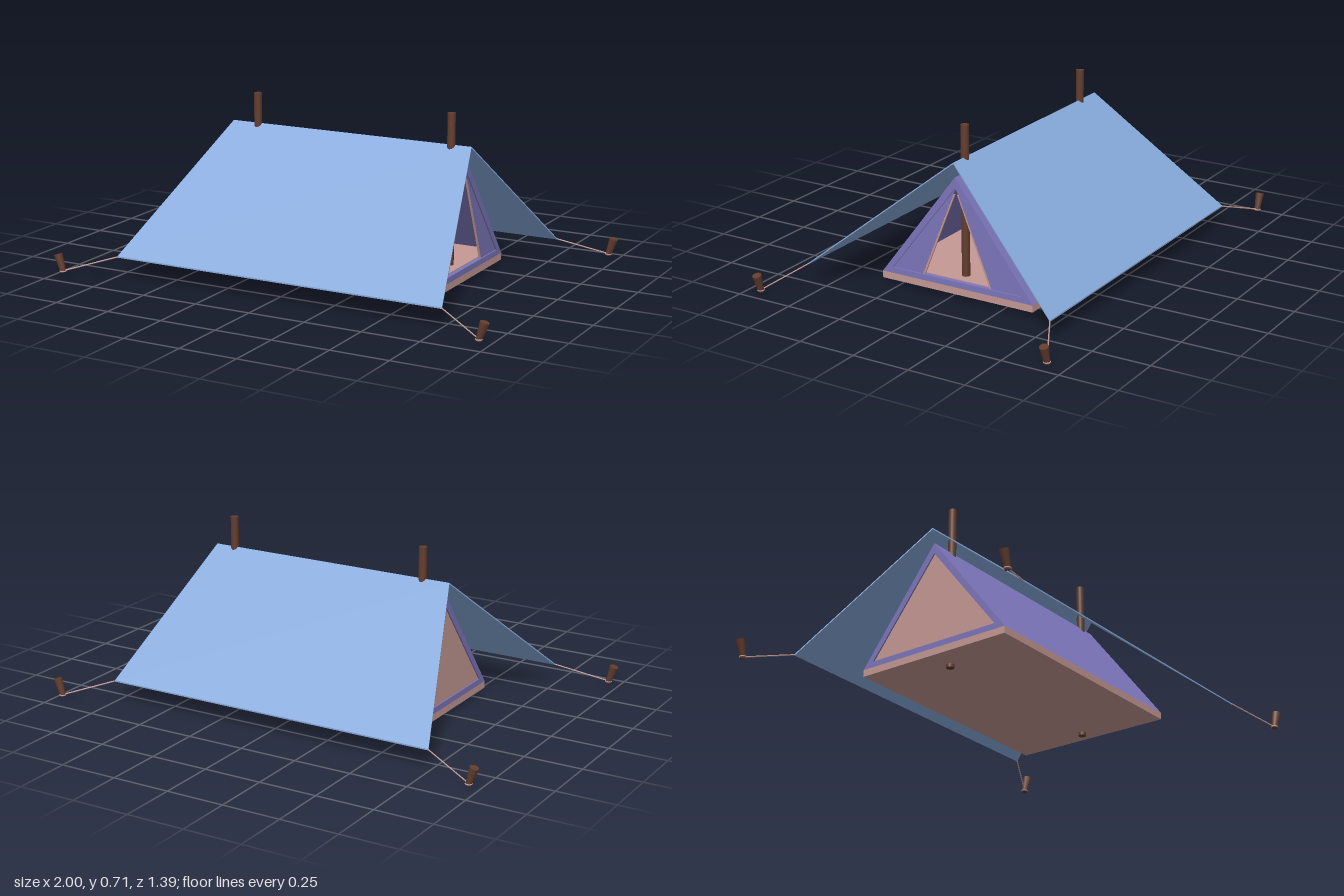
import * as THREE from 'three';

const mat = (name, color, extra = {}) => {
  const m = new THREE.MeshStandardMaterial({ color, ...extra });
  m.name = name;
  return m;
};

export function createModel() {
  const blue = mat('flySheetBlue', 0x88abdc);
  const purple = mat('innerTentPurple', 0x7c76ba);
  const pink = mat('groundsheetPink', 0xc49894);
  const brown = mat('woodBrown', 0x633d2e);

  const model = new THREE.Group();
  model.name = 'ridgeTent';
  const RIDGE_Z = -0.025;

  const add = (parent, name, geometry, material, x = 0, y = 0, z = 0) => {
    const mesh = new THREE.Mesh(geometry, material);
    mesh.name = name;
    mesh.position.set(x, y, z);
    parent.add(mesh);
    return mesh;
  };

  // Tapered rod between two points
  const rod = (parent, name, a, b, r0, r1, sides, material) => {
    const d = b.clone().sub(a);
    const m = add(parent, name, new THREE.CylinderGeometry(r1, r0, d.length(), sides), material);
    m.position.copy(a).add(b).multiplyScalar(0.5);
    m.quaternion.setFromUnitVectors(new THREE.Vector3(0, 1, 0), d.normalize());
    return m;
  };

  // Fly sheet: a thin box bent over the ridge, spreading towards the eaves
  const fly = new THREE.BoxGeometry(1, 0.006, 1, 1, 1, 2).toNonIndexed();
  const p = fly.attributes.position;
  for (let i = 0; i < p.count; i++) {
    const side = Math.round(p.getZ(i) * 2);
    const eave = Math.abs(side);
    const right = p.getX(i) > 0;
    const x = right ? 0.595 + 0.165 * eave : -0.54 - 0.205 * eave;
    const z = side > 0 ? 0.58 : side < 0 ? -0.57 : RIDGE_Z - 0.003;
    p.setXYZ(i, x, 0.579 - 0.493 * eave + p.getY(i), z);
  }
  fly.computeVertexNormals();
  add(model, 'flySheet', fly, blue);

  // Inner tent
  const inner = new THREE.Group();
  inner.name = 'innerTent';
  inner.position.z = RIDGE_Z;
  model.add(inner);

  const X0 = -0.53, X1 = 0.58;
  const polygon = (pts, Type = THREE.Shape) => new Type(pts.map(q => new THREE.Vector2(...q)));
  // Extrudes an end profile (z, y) along x
  const alongX = (shape, depth) =>
    new THREE.ExtrudeGeometry(shape, { depth, bevelEnabled: false }).rotateY(Math.PI / 2);

  const shell = polygon([[-0.36, 0.045], [0.36, 0.045], [0, 0.515]]);
  shell.holes.push(polygon([[-0.31, 0.07], [0, 0.468], [0.31, 0.07]], THREE.Path));
  add(inner, 'tentWalls', alongX(shell, X1 - X0), purple, X0);

  add(inner, 'groundsheet', new THREE.BoxGeometry(X1 - X0, 0.03, 0.72), pink, (X0 + X1) / 2, 0.03);
  add(inner, 'insideFloor', new THREE.BoxGeometry(X1 - X0 - 0.04, 0.006, 0.61), pink, (X0 + X1) / 2, 0.07);

  // Closed end panel, set slightly into the frame
  const endPanel = polygon([[-0.31, 0.07], [0.31, 0.07], [0, 0.468]]);
  add(inner, 'endPanel', alongX(endPanel, 0.008), pink, X0 + 0.006);

  // Door flaps, with a narrow pink hem along the opening
  for (const s of [-1, 1]) {
    const flap = polygon([[s * 0.31, 0.07], [s * 0.165, 0.07], [s * 0.012, 0.44], [0, 0.468]]);
    add(inner, 'doorFlap', alongX(flap, 0.008), purple, X1 - 0.014);
    const hem = polygon([[s * 0.165, 0.07], [s * 0.155, 0.07], [s * 0.005, 0.44], [s * 0.012, 0.44]]);
    add(inner, 'doorHem', alongX(hem, 0.006), pink, X1 - 0.013);
  }

  // Ridge poles
  for (const x of [-0.415, 0.505]) {
    add(model, 'pole', new THREE.CylinderGeometry(0.017, 0.017, 0.715, 12), brown, x, 0.3575, RIDGE_Z);
  }

  // Guy lines and leaning pegs at the four corners
  const corners = [
    [-1, -0.745, 0.58, 0.673], [1, 0.76, 0.58, 0.673],
    [-1, -0.745, -0.57, -0.645], [1, 0.76, -0.57, -0.675],
  ];
  for (const [s, eaveX, eaveZ, pegZ] of corners) {
    const foot = new THREE.Vector3(s * 0.957, 0.014, pegZ);
    const head = new THREE.Vector3(s * 0.981, 0.09, pegZ);
    rod(model, 'peg', foot, head, 0.012, 0.019, 10, brown);
    const knot = foot.clone().lerp(head, 0.08);
    rod(model, 'guyLine', new THREE.Vector3(eaveX, 0.086, eaveZ), knot, 0.003, 0.003, 6, pink);
    const loop = add(model, 'guyLoop', new THREE.TorusGeometry(0.013, 0.003, 6, 12), pink);
    loop.position.copy(knot);
    loop.rotation.x = Math.PI / 2;
  }

  return model;
}
